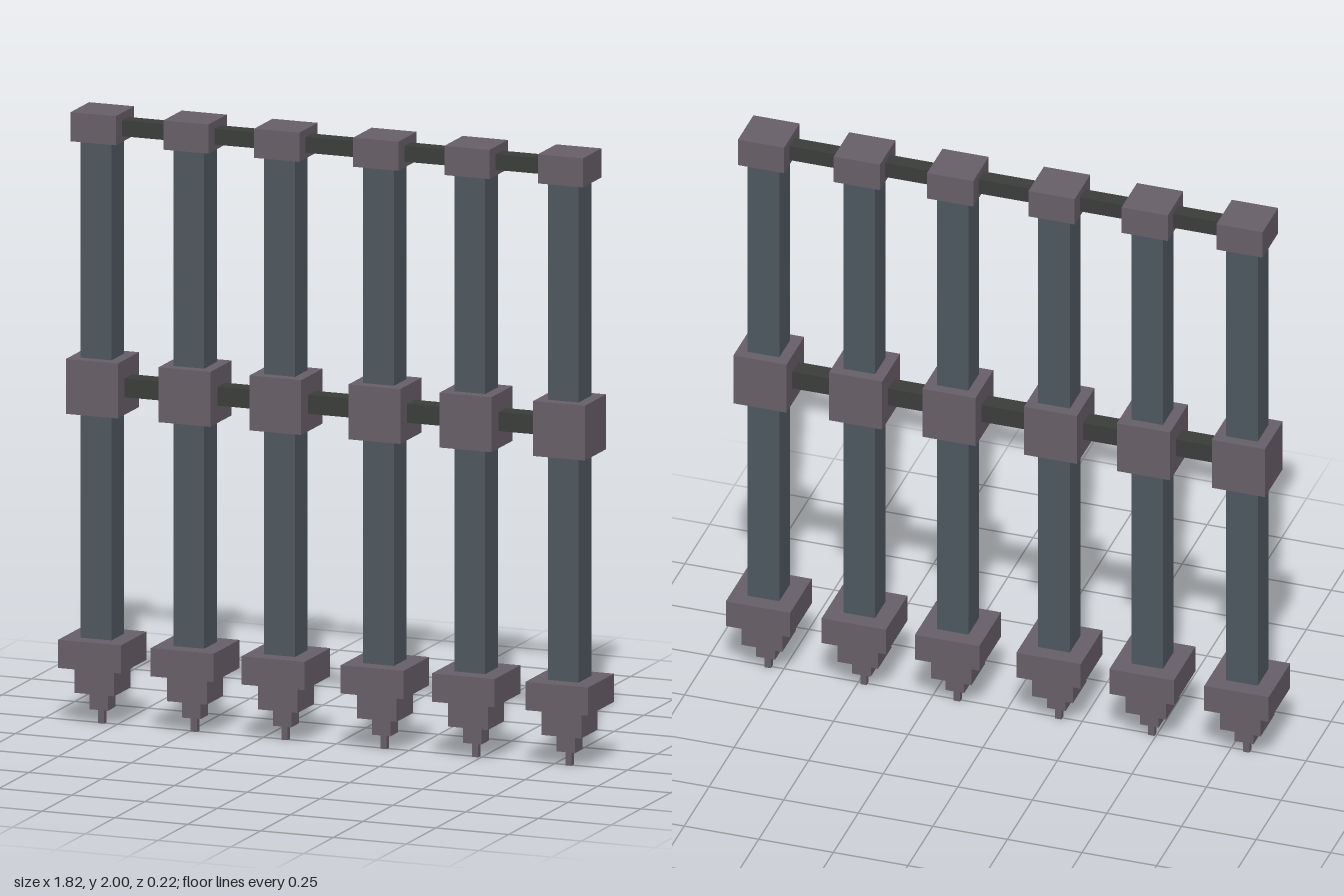
import * as THREE from 'three';

const postMaterial = new THREE.MeshStandardMaterial({ color: 0x4f5860 });
const blockMaterial = new THREE.MeshStandardMaterial({ color: 0x685f68 });
const railMaterial = new THREE.MeshStandardMaterial({ color: 0x3b3d3b });

// Box with a rectangular plan, spanning y0 to y1
function addBox(parent, name, material, width, y0, y1, depth = width) {
  const mesh = new THREE.Mesh(new THREE.BoxGeometry(width, y1 - y0, depth), material);
  mesh.name = name;
  mesh.position.y = (y0 + y1) / 2;
  parent.add(mesh);
}

// One square bar with its cap, collar and stepped spike
function createBar() {
  const bar = new THREE.Group();
  addBox(bar, 'post', postMaterial, 0.106, 0.26, 1.93);
  addBox(bar, 'topCap', blockMaterial, 0.155, 1.905, 2);
  addBox(bar, 'middleCollar', blockMaterial, 0.178, 1.018, 1.197);
  addBox(bar, 'baseBlock', blockMaterial, 0.216, 0.192, 0.284);
  addBox(bar, 'upperSpikeStep', blockMaterial, 0.136, 0.106, 0.192);
  addBox(bar, 'lowerSpikeStep', blockMaterial, 0.063, 0.048, 0.106);
  addBox(bar, 'spikeTip', blockMaterial, 0.021, 0, 0.048);
  return bar;
}

export function createModel() {
  const model = new THREE.Group();
  model.name = 'barredGate';

  // Six slightly unevenly spaced bars
  [-0.803, -0.485, -0.173, 0.167, 0.48, 0.801].forEach((x, i) => {
    const bar = createBar();
    bar.name = `bar${i + 1}`;
    bar.position.x = x;
    model.add(bar);
  });

  // Horizontal rails running through the caps and collars
  addBox(model, 'topRail', railMaterial, 1.6, 1.924, 1.976, 0.052);
  addBox(model, 'middleRail', railMaterial, 1.6, 1.075, 1.137, 0.062);
  return model;
}
